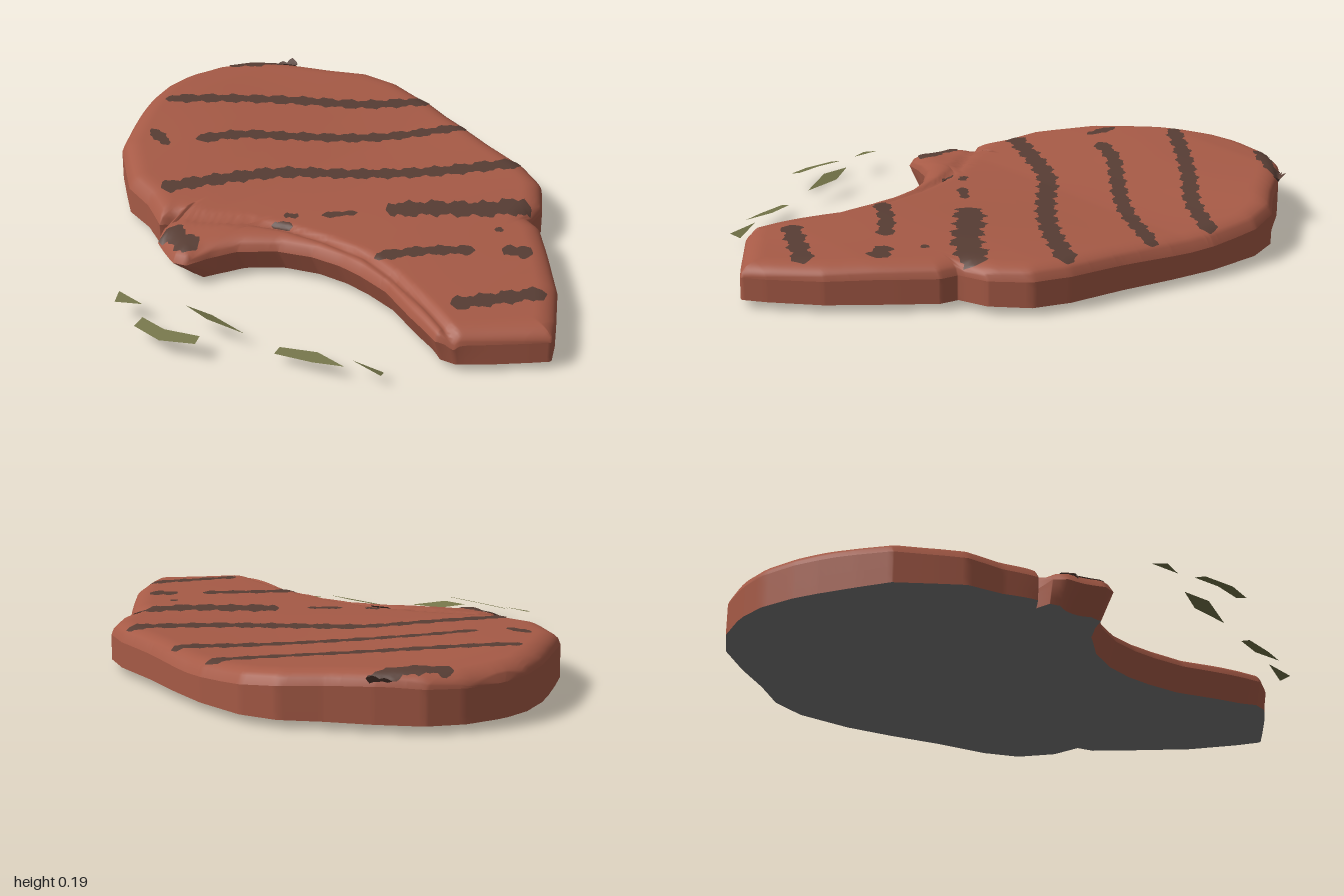
import * as THREE from 'three';

const mat = (name, color, side = THREE.FrontSide) => {
  const m = new THREE.MeshStandardMaterial({ color, side });
  m.name = name;
  return m;
};

// Outline as left and right edges, [x, z] from back to front
const LEFT = [[0.2, -1], [0.11, -0.985], [0, -0.935], [-0.07, -0.89], [-0.18, -0.81], [-0.27, -0.74],
  [-0.34, -0.62], [-0.385, -0.54], [-0.395, -0.42], [-0.43, -0.31], [-0.385, -0.285], [-0.45, -0.272],
  [-0.49, -0.24], [-0.52, -0.12], [-0.5, -0.075], [-0.43, -0.06], [-0.34, -0.02], [-0.24, 0.07],
  [-0.18, 0.17], [-0.15, 0.27], [-0.14, 0.36], [-0.14, 0.48], [-0.175, 0.63], [-0.2, 0.77],
  [-0.17, 0.82], [0.02, 0.96], [0.07, 0.995]];
const RIGHT = [[0.24, -1], [0.35, -0.985], [0.46, -0.93], [0.56, -0.82], [0.65, -0.7], [0.74, -0.6],
  [0.785, -0.48], [0.79, -0.29], [0.77, -0.13], [0.74, 0.05], [0.72, 0.24], [0.68, 0.36],
  [0.585, 0.455], [0.49, 0.49], [0.48, 0.55], [0.4, 0.66], [0.27, 0.83], [0.14, 0.95], [0.08, 0.995]];
// Crease between the meat and the bone rim
const CREASE = [[-0.385, -0.285], [-0.33, -0.2], [-0.24, -0.09], [-0.17, 0.03], [-0.12, 0.17],
  [-0.09, 0.33], [-0.1, 0.48], [-0.13, 0.65], [-0.17, 0.82]];
// Height of the top along z, [height, z]
const HEIGHT = [[0.18, -1], [0.185, -0.85], [0.172, -0.6], [0.158, -0.4], [0.148, -0.2], [0.152, 0],
  [0.157, 0.3], [0.157, 0.7], [0.15, 0.85], [0.145, 1]];

const at = (list, z) => {
  let i = 0;
  while (i < list.length - 2 && z > list[i + 1][1]) i++;
  const [a, za] = list[i], [b, zb] = list[i + 1];
  return a + (b - a) * THREE.MathUtils.clamp((z - za) / (zb - za), 0, 1);
};

const distance = (path, x, z) => {
  let best = 9;
  for (let i = 0; i < path.length - 1; i++) {
    const [ax, az] = path[i], dx = path[i + 1][0] - ax, dz = path[i + 1][1] - az;
    const t = THREE.MathUtils.clamp(((x - ax) * dx + (z - az) * dz) / (dx * dx + dz * dz), 0, 1);
    best = Math.min(best, Math.hypot(x - ax - t * dx, z - az - t * dz));
  }
  return best;
};

const OUTLINE = [...LEFT, ...[...RIGHT].reverse(), LEFT[0]];
const bump = (x, z, cx, cz, r) => Math.exp(-((x - cx) ** 2 + (z - cz) ** 2) / (r * r));

// Top surface: gentle waves, rounded border, crease and lowered bone end
const topY = (x, z) => {
  const k = 1 - Math.min(distance(OUTLINE, x, z) / 0.07, 1);
  const round = 0.045 * (1 - Math.sqrt(1 - k * k));
  const crease = 0.016 * Math.exp(-((distance(CREASE, x, z) / 0.014) ** 2));
  const waves = 0.004 * Math.sin(5 * x + 3 * z) * Math.sin(4 * z - 2 * x);
  return at(HEIGHT, z) + waves + 0.01 * bump(x, z, 0.1, -0.8, 0.3)
    - 0.02 * bump(x, z, -0.48, -0.15, 0.14) - round - crease;
};
const bottomY = (x, z) => 0.03 - 0.015 * bump(x, z, 0.25, -0.25, 0.35) - 0.025 * bump(x, z, -0.44, -0.15, 0.12);
// The wall leans inward below the bone rim
const undercut = (x, z) =>
  0.035 * THREE.MathUtils.smoothstep(z, -0.3, -0.2) * (1 - THREE.MathUtils.smoothstep(z, 0.7, 0.9))
  + 0.045 * bump(x, z, -0.52, -0.14, 0.12);

// Smooth sheet of rows x columns points
function sheet(rows, cols, point) {
  const pos = [], idx = [];
  for (let i = 0; i < rows; i++) for (let j = 0; j < cols; j++) pos.push(...point(i, j));
  for (let i = 0; i < rows - 1; i++) {
    for (let j = 0; j < cols - 1; j++) {
      const a = i * cols + j, c = a + cols;
      idx.push(a, c, a + 1, a + 1, c, c + 1);
    }
  }
  const g = new THREE.BufferGeometry();
  g.setAttribute('position', new THREE.Float32BufferAttribute(pos, 3));
  g.setIndex(idx);
  g.computeVertexNormals();
  return g;
}

// Irregular grill mark lying on the top surface
function grillMark(points, width, seed) {
  const curve = new THREE.CatmullRomCurve3(points.map(([x, z]) => new THREE.Vector3(x, 0, z)));
  const n = Math.max(8, Math.ceil(curve.getLength() / 0.012));
  return sheet(n + 1, 6, (i, j) => {
    const t = i / n, p = curve.getPointAt(t), d = curve.getTangentAt(t);
    const end = Math.min(1, Math.sqrt(Math.min(i, n - i) / 2) + 0.1);
    const side = j / 5 - 0.5;
    const ragged = 1 + 0.22 * Math.sin(i * 0.9 + seed * 2) + 0.16 * Math.sin(i * 2.1 + seed + (j > 2 ? 2 : 0));
    const o = side * width * end * ragged;
    const x = p.x + d.z * o, z = p.z - d.x * o;
    return [x, topY(x, z) + 0.004, z];
  });
}

export function createModel() {
  const group = new THREE.Group();
  const meat = mat('browned meat', 0xa65a46);
  const char = mat('grill char', 0x573d34, THREE.DoubleSide);
  const under = mat('dark underside', 0x787878);
  const herb = mat('olive herb', 0x737348, THREE.DoubleSide);
  const add = (name, geometry, material) => {
    const m = new THREE.Mesh(geometry, material);
    m.name = name;
    group.add(m);
  };

  // Rows follow every outline corner plus an even fill
  const zs = [...LEFT, ...RIGHT].map((p) => p[1]);
  for (let z = -0.99; z < 0.995; z += 0.015) zs.push(z);
  const rows = [...new Set(zs.map((z) => +z.toFixed(3)))].sort((a, b) => a - b);
  const cols = 56;
  const edge = (z, u) => THREE.MathUtils.lerp(at(LEFT, z), at(RIGHT, z), u);

  add('steakTop', sheet(rows.length, cols, (i, j) => {
    const t = j / (cols - 1), z = rows[i];
    const x = edge(z, 0.6 * t + 0.4 * (1 - Math.cos(Math.PI * t)) / 2);
    return [x, topY(x, z), z];
  }), meat);

  add('steakUnderside', sheet(rows.length, 25, (i, j) => {
    const u = 1 - j / 24, z = rows[i], xl = at(LEFT, z);
    const x = edge(z, u);
    return [x + undercut(xl, z) * (1 - u), bottomY(x, z), z];
  }), under);

  // Side wall around the whole outline
  const loop = [...rows.map((z) => [edge(z, 0), z, 1]), ...[...rows].reverse().map((z) => [edge(z, 1), z, 0])];
  loop.push(loop[0]);
  add('steakSide', sheet(loop.length, 5, (i, j) => {
    const [x, z, left] = loop[i], v = j / 4;
    const y = THREE.MathUtils.lerp(bottomY(x, z), topY(x, z), v);
    return [x + left * undercut(x, z) * (1 - v), y, z];
  }), meat);

  // Grill marks: path and width
  [
    [[[0.36, -0.94], [0.45, -0.87], [0.58, -0.81]], 0.05],
    [[[0.01, -0.86], [0.24, -0.69], [0.4, -0.56], [0.56, -0.42], [0.77, -0.29]], 0.052],
    [[[-0.07, -0.58], [0.08, -0.51], [0.22, -0.4], [0.43, -0.24], [0.74, -0.07]], 0.05],
    [[[-0.34, -0.42], [-0.18, -0.35], [0.06, -0.23], [0.24, -0.07], [0.43, 0.08], [0.7, 0.24]], 0.062],
    [[[0.14, 0.17], [0.27, 0.27], [0.38, 0.37], [0.53, 0.455]], 0.09],
    [[[-0.08, 0.36], [0.06, 0.44], [0.19, 0.54]], 0.05],
    [[[-0.08, 0.71], [0.06, 0.78], [0.2, 0.85]], 0.06],
    [[[0.26, 0.59], [0.32, 0.67]], 0.065],
    [[[-0.15, -0.73], [-0.165, -0.61]], 0.042],
    [[[-0.04, 0.055], [0.06, 0.12]], 0.032],
    [[[-0.13, -0.03], [-0.1, 0.01]], 0.03],
    [[[-0.19, -0.02], [-0.15, 0.04]], 0.03],
    [[[0.335, 0.485], [0.34, 0.515]], 0.025],
  ].forEach(([path, width], i) => add('grillMark' + (i + 1), grillMark(path, width, i), char));
  add('boneMarrow', grillMark([[-0.45, -0.24], [-0.455, -0.16], [-0.45, -0.085]], 0.075, 3), char);

  // Loose herb flakes: corners [x, z], height at the left and right ends
  [
    [[[-0.78, -0.08], [-0.74, -0.11], [-0.73, 0]], 0.07, 0.08],
    [[[-0.8, 0.05], [-0.76, 0.04], [-0.75, 0.14], [-0.7, 0.255], [-0.73, 0.27], [-0.79, 0.165]], 0.055, 0.08],
    [[[-0.635, 0.1], [-0.59, 0.175], [-0.57, 0.31], [-0.63, 0.2]], 0.085, 0.06],
    [[[-0.55, 0.43], [-0.52, 0.42], [-0.46, 0.53], [-0.45, 0.64], [-0.5, 0.55]], 0.04, 0.06],
    [[[-0.41, 0.63], [-0.36, 0.72], [-0.39, 0.74]], 0.06, 0.04],
  ].forEach(([pts, y0, y1], i) => {
    const g = new THREE.ShapeGeometry(new THREE.Shape(pts.map(([x, z]) => new THREE.Vector2(x, -z))));
    g.rotateX(-Math.PI / 2);
    const p = g.attributes.position, x0 = Math.min(...pts.map((q) => q[0])), x1 = Math.max(...pts.map((q) => q[0]));
    for (let k = 0; k < p.count; k++) p.setY(k, y0 + (y1 - y0) * (p.getX(k) - x0) / (x1 - x0));
    g.computeVertexNormals();
    add('herbFlake' + (i + 1), g, herb);
  });
  return group;
}
